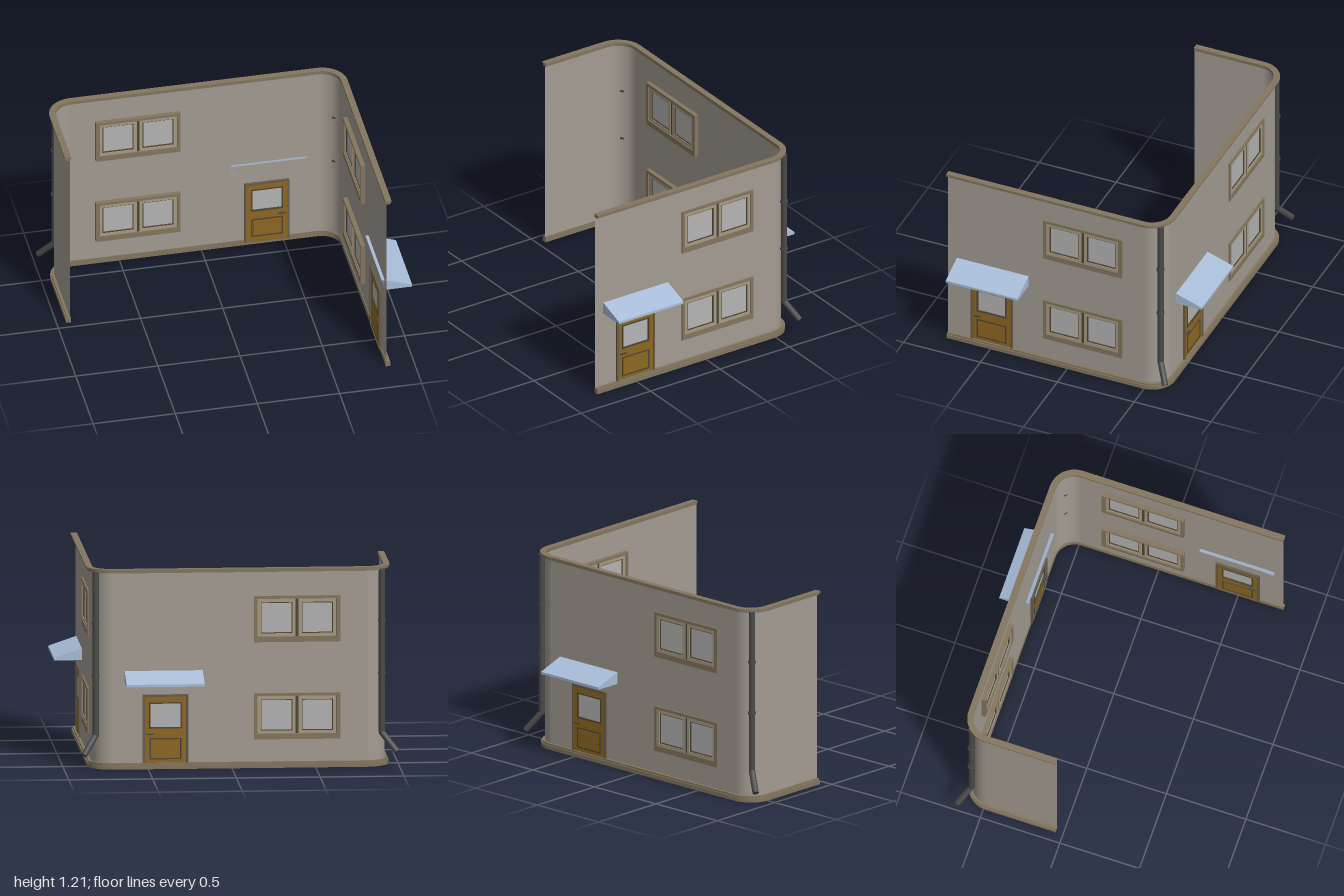
import * as THREE from 'three';
import { toCreasedNormals } from 'three/addons/utils/BufferGeometryUtils.js';

const mat = (color) => new THREE.MeshStandardMaterial({ color, side: THREE.DoubleSide });
const M = {
  wall: mat(0xa39c92), trim: mat(0x83765f), sash: mat(0xa89c80), bead: mat(0x4c463a),
  glass: mat(0xb4b4b4), door: mat(0x8e671f), casing: mat(0x675c4a),
  canopy: mat(0xa9bdd8), pipe: mat(0x4a4a4a),
};

// Plan of the shell: left wall, back wall, right wall joined by rounded corners
const L = -0.92, R = 0.832, BACK = -0.613, RAD = 0.125, LEFT_END = -0.045, RIGHT_END = 0.785, H = 1.19;
const CZ = BACK + RAD, CL = L + RAD, CR = R - RAD;

function mesh(parent, name, geo, material) {
  const m = new THREE.Mesh(geo, material);
  m.name = name;
  parent.add(m);
  return m;
}

function box(parent, name, x0, x1, y0, y1, z0, z1, material) {
  const g = new THREE.BoxGeometry(x1 - x0, y1 - y0, z1 - z0);
  g.translate((x0 + x1) / 2, (y0 + y1) / 2, (z0 + z1) / 2);
  return mesh(parent, name, g, material);
}

const rect = (x0, x1, y0, y1) =>
  [[x0, y0], [x1, y0], [x1, y1], [x0, y1]].map((p) => new THREE.Vector2(...p));

function shapeWithHoles(outer, holes) {
  const s = new THREE.Shape(rect(...outer));
  holes.forEach((h) => s.holes.push(new THREE.Path(rect(...h).reverse())));
  return s;
}

// Rectangular frame from z0 to z1
function frame(parent, name, outer, holes, z0, z1, material) {
  const g = new THREE.ExtrudeGeometry(shapeWithHoles(outer, holes), { depth: z1 - z0, bevelEnabled: false });
  g.translate(0, 0, z0);
  return mesh(parent, name, g, material);
}

// Plan line offset outwards by d, as (x, z) points
function planLine(d) {
  const pts = [new THREE.Vector2(L - d, LEFT_END)];
  for (const [cx, start] of [[CL, Math.PI], [CR, Math.PI * 1.5]])
    for (let i = 0; i <= 12; i++) {
      const a = start + (i / 12) * Math.PI / 2;
      pts.push(new THREE.Vector2(cx + (RAD + d) * Math.cos(a), CZ + (RAD + d) * Math.sin(a)));
    }
  pts.push(new THREE.Vector2(R + d, RIGHT_END));
  return pts;
}

// Horizontal moulding that follows the plan
function moulding(parent, name, dIn, dOut, y0, y1) {
  const s = new THREE.Shape([...planLine(dOut), ...planLine(dIn).reverse()]);
  const g = new THREE.ExtrudeGeometry(s, { depth: y1 - y0, bevelEnabled: false });
  g.rotateX(Math.PI / 2).translate(0, y1, 0);
  mesh(parent, name, toCreasedNormals(g, 0.5), M.trim);
}

// Window with two sashes; local +z points out of the house
function windowUnit(parent, cx, y) {
  const g = new THREE.Group();
  g.name = 'window';
  g.position.set(cx, y, 0);
  frame(g, 'windowCasing', [-0.257, 0.257, 0, 0.278], [[-0.237, 0.233, 0.034, 0.261]], -0.027, 0.01, M.trim);
  box(g, 'windowMullion', -0.012, 0.01, 0.034, 0.261, -0.016, 0.002, M.bead);
  for (const [x0, x1] of [[-0.237, -0.01], [0.008, 0.233]]) {
    const p = [x0 + 0.02, x1 - 0.018, 0.052, 0.24];
    const inner = [p[0] + 0.005, p[1] - 0.005, p[2] + 0.005, p[3] - 0.005];
    frame(g, 'windowSash', [x0, x1, 0.034, 0.261], [p], -0.02, 0.006, M.sash);
    frame(g, 'glazingBead', p, [inner], -0.016, 0.002, M.bead);
    box(g, 'windowPane', ...p, -0.009, -0.005, M.glass);
  }
  parent.add(g);
}

// Half-glazed door with casing, lower panel and handles
function doorUnit(parent, cx) {
  const g = new THREE.Group();
  g.name = 'door';
  g.position.x = cx;
  const glass = [-0.097, 0.097, 0.242, 0.4];
  const shrink = ([a, b, c, d], t) => [a + t, b - t, c + t, d - t];
  frame(g, 'doorCasing', [-0.137, 0.137, 0.02, 0.447], [[-0.124, 0.124, 0.02, 0.434]], -0.014, 0.012, M.casing);
  frame(g, 'doorLeaf', [-0.124, 0.124, 0.02, 0.434], [glass], -0.009, 0.006, M.door);
  frame(g, 'doorGlassBead', glass, [shrink(glass, 0.008)], -0.013, 0.01, M.bead);
  box(g, 'doorGlass', ...glass, -0.004, 0.001, M.glass);
  const panel = [-0.096, 0.096, 0.057, 0.185];
  frame(g, 'doorPanelBead', panel, [shrink(panel, 0.008)], -0.013, 0.01, M.bead);
  box(g, 'doorPanel', ...shrink(panel, 0.016), -0.011, 0.008, M.door);
  for (const [z0, z1] of [[0.006, 0.018], [-0.021, -0.009]])
    box(g, 'doorHandle', -0.112, -0.07, 0.206, 0.213, z0, z1, M.bead);
  parent.add(g);
}

// Sloping canopy above a door; profile is (distance outwards, height)
function canopy(parent, cx) {
  const w = 0.466;
  const profile = [[-0.02, 0.597], [-0.02, 0.591], [0, 0.584], [0, 0.518], [0.167, 0.518], [0.167, 0.533]];
  const g = new THREE.ExtrudeGeometry(new THREE.Shape(profile.map((p) => new THREE.Vector2(...p))),
    { depth: w, bevelEnabled: false });
  g.rotateY(-Math.PI / 2).translate(cx + w / 2, 0, 0);
  mesh(parent, 'canopy', g, M.canopy);
}

// Flat wall panel, optionally with two windows, a door and a canopy
function wall(parent, name, pos, turn, x0, x1, fit) {
  const g = new THREE.Group();
  g.name = name;
  g.position.set(...pos);
  g.rotation.y = turn;
  const holes = [];
  if (fit) {
    for (const y of [0.17, 0.756]) {
      holes.push([fit.window - 0.245, fit.window + 0.245, y + 0.012, y + 0.268]);
      windowUnit(g, fit.window, y);
    }
    holes.push([fit.door - 0.13, fit.door + 0.13, 0.03, 0.44]);
    doorUnit(g, fit.door);
    canopy(g, fit.canopy);
  }
  mesh(g, name + 'Panel', new THREE.ShapeGeometry(shapeWithHoles([x0, x1, 0, H], holes)), M.wall);
  parent.add(g);
}

// Round bar between two points
function rod(parent, name, a, b, r) {
  const d = b.clone().sub(a);
  const m = mesh(parent, name, new THREE.CylinderGeometry(r, r, d.length(), 16), M.pipe);
  m.position.copy(a).addScaledVector(d, 0.5);
  m.quaternion.setFromUnitVectors(new THREE.Vector3(0, 1, 0), d.normalize());
}

// Downpipe with two collars and a kicked-out foot
function downpipe(parent, x, endX) {
  const g = new THREE.Group();
  g.name = 'downpipe';
  const v = (px, y, z) => new THREE.Vector3(px, y, z);
  const z = -0.589, knee = v(x, 0.2, z);
  rod(g, 'pipeShaft', v(x, 1.188, z), knee, 0.019);
  mesh(g, 'pipeKnee', new THREE.SphereGeometry(0.019, 16, 10), M.pipe).position.copy(knee);
  rod(g, 'pipeFoot', knee, v(endX, 0.09, -0.65), 0.019);
  for (const y of [0.558, 0.875]) rod(g, 'pipeCollar', v(x, y - 0.006, z), v(x, y + 0.006, z), 0.024);
  parent.add(g);
}

export function createModel() {
  const house = new THREE.Group();
  house.name = 'houseShell';

  // Walls
  wall(house, 'rightWall', [R, 0, 0], Math.PI / 2, -RIGHT_END, -CZ, { window: 0.093, door: -0.498, canopy: -0.494 });
  wall(house, 'backWall', [0, 0, BACK], Math.PI, -CR, -CL, { window: 0.39, door: -0.396, canopy: -0.406 });
  wall(house, 'leftWall', [L, 0, 0], -Math.PI / 2, CZ, LEFT_END);
  for (const [cx, start] of [[CL, Math.PI], [CR, Math.PI / 2]]) {
    const g = new THREE.CylinderGeometry(RAD, RAD, H, 12, 1, true, start, Math.PI / 2);
    mesh(house, 'roundedCorner', g, M.wall).position.set(cx, H / 2, CZ);
  }

  // Plinth and cornice
  moulding(house, 'plinth', -0.006, 0.024, 0, 0.025);
  moulding(house, 'plinthCap', -0.005, 0.017, 0.025, 0.036);
  moulding(house, 'corniceLower', -0.006, 0.023, 1.182, 1.193);
  moulding(house, 'cornice', -0.008, 0.03, 1.193, 1.205);

  // Downpipes at the rounded corners
  downpipe(house, 0.811, 0.884);
  downpipe(house, -0.898, -0.985);
  return house;
}
